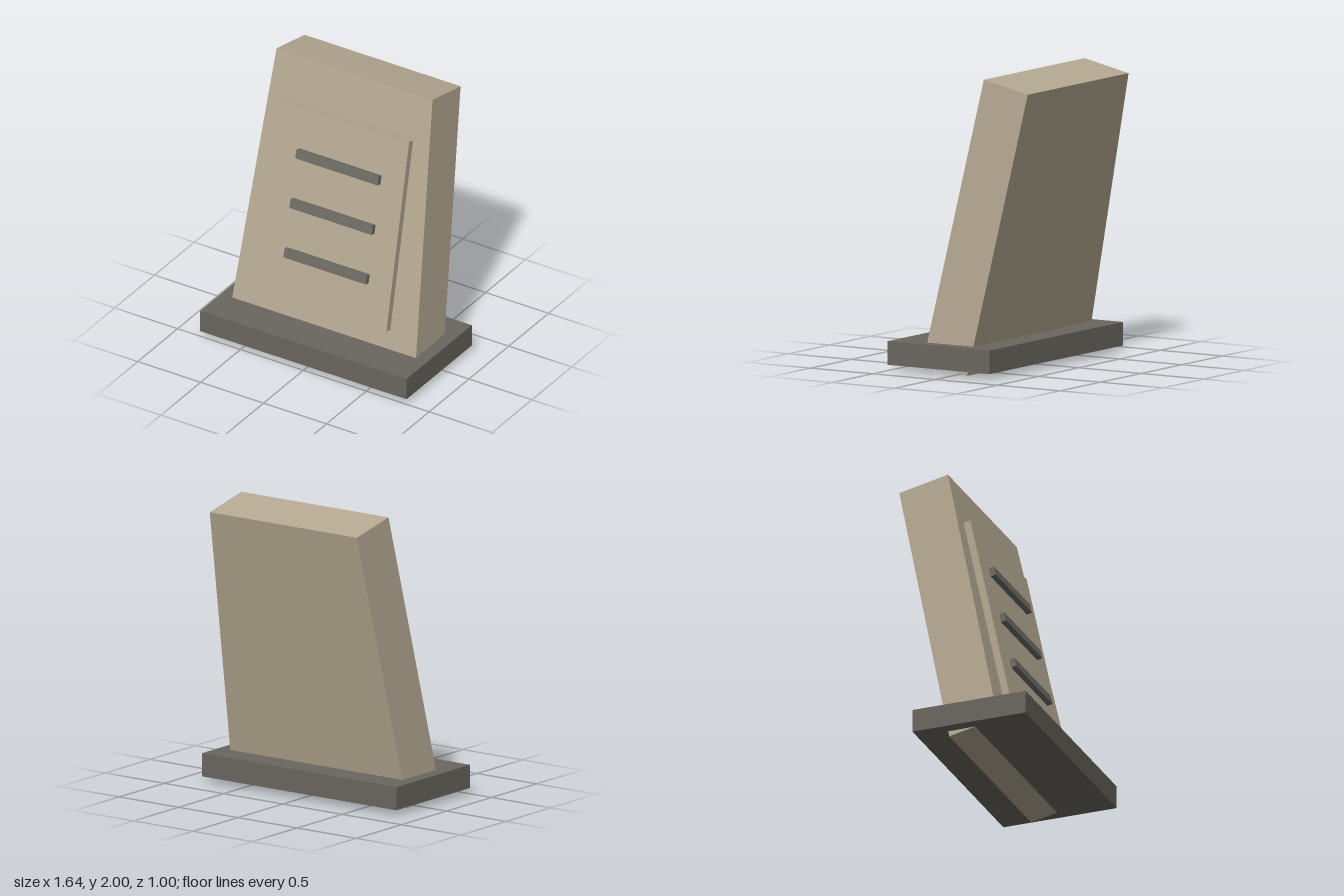
import * as THREE from 'three';

const stone = new THREE.MeshStandardMaterial({ color: 0xb5a992 });
stone.name = 'warmStone';
const darkStone = new THREE.MeshStandardMaterial({ color: 0x6a675f });
darkStone.name = 'darkStone';
const barGrey = new THREE.MeshStandardMaterial({ color: 0x6d6d65 });
barGrey.name = 'barGrey';

function addPart(parent, name, geometry, material, x, y, z) {
  const mesh = new THREE.Mesh(geometry, material);
  mesh.name = name;
  mesh.position.set(x, y, z);
  parent.add(mesh);
  return mesh;
}

export function createModel() {
  const model = new THREE.Group();
  model.name = 'tablet';

  // Flat plinth
  addPart(model, 'base', new THREE.BoxGeometry(1.64, 0.16, 0.82), darkStone, 0, 0.12, 0.09);

  // Everything on the slab leans back together
  const leaning = new THREE.Group();
  leaning.name = 'leaningSlab';
  leaning.position.set(0, 1, -0.1145);
  leaning.rotation.x = -Math.PI / 15;
  model.add(leaning);

  // Tapered slab, wider at the foot
  const height = 1.968, depth = 0.36, topHalf = 0.62, footHalf = 0.738;
  const outline = new THREE.Shape([
    new THREE.Vector2(-footHalf, -height / 2),
    new THREE.Vector2(footHalf, -height / 2),
    new THREE.Vector2(topHalf, height / 2),
    new THREE.Vector2(-topHalf, height / 2),
  ]);
  const slab = new THREE.ExtrudeGeometry(outline, { depth, bevelEnabled: false });
  addPart(leaning, 'slab', slab, stone, 0, 0, -depth / 2);

  // Raised panel on the front face, sunk slightly into the slab
  addPart(leaning, 'frontPanel', new THREE.BoxGeometry(1.016, 1.375, 0.06), stone, 0, -0.031, 0.2);

  // Three horizontal bars
  for (let i = -1; i <= 1; i++) {
    addPart(leaning, 'bar', new THREE.BoxGeometry(0.654, 0.064, 0.05), barGrey, 0, -0.029 + i * 0.359, 0.242);
  }

  return model;
}
